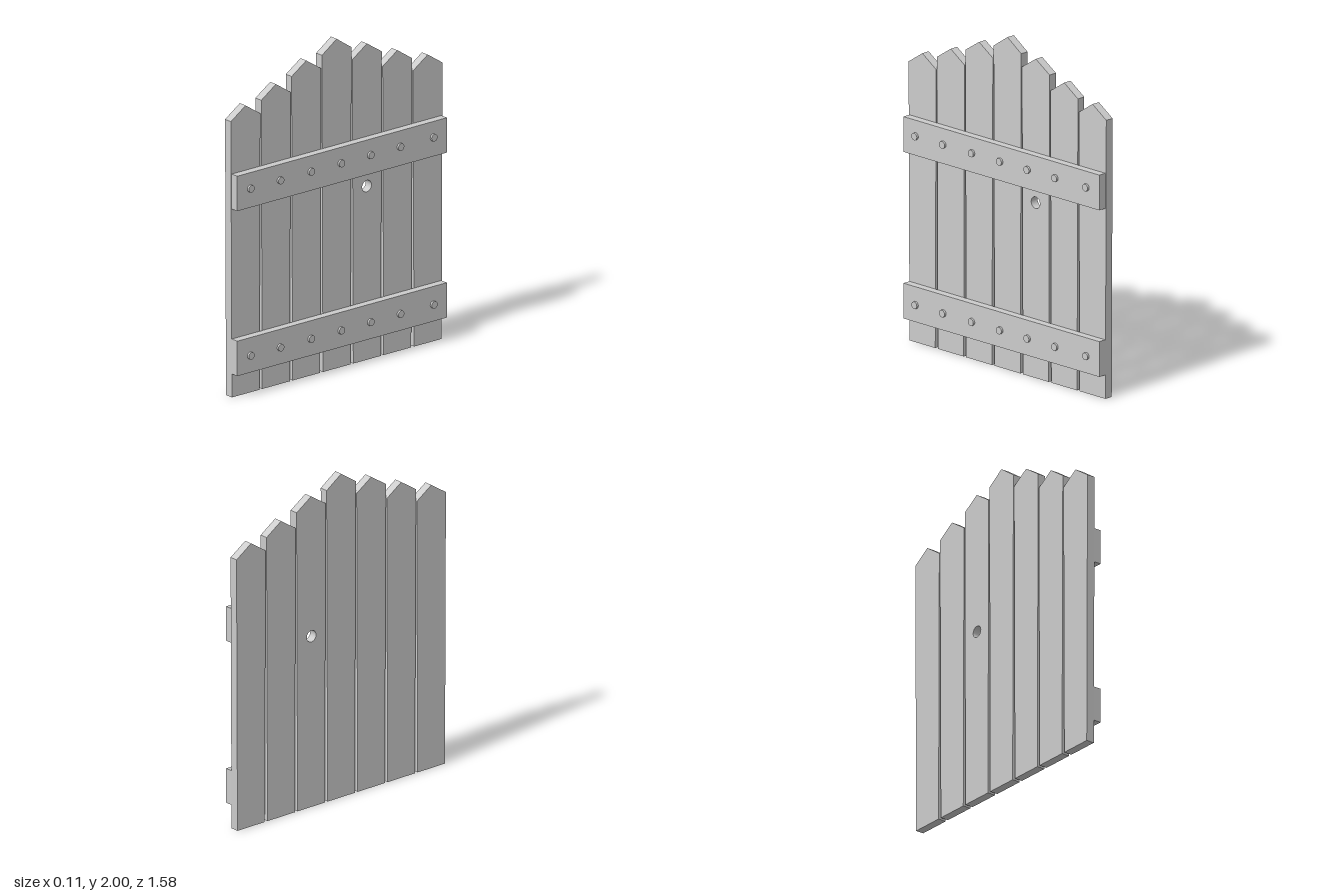
import * as THREE from 'three';

const material = new THREE.MeshStandardMaterial({ color: 0xcccccc, flatShading: true });

// Extrudes an outline drawn in (z, y) so that it fills x from xMin to xMax
function slab(points, xMin, xMax, hole) {
  const shape = new THREE.Shape(points.map(([z, y]) => new THREE.Vector2(z, y)));
  if (hole) shape.holes.push(new THREE.Path().absarc(hole.z, hole.y, hole.r, 0, Math.PI * 2, true));
  const geometry = new THREE.ExtrudeGeometry(shape, {
    depth: xMax - xMin, bevelEnabled: false, curveSegments: 16,
  });
  geometry.rotateY(-Math.PI / 2);
  geometry.translate(xMax, 0, 0);
  return geometry;
}

export function createModel() {
  const gate = new THREE.Group();
  gate.name = 'picketGate';
  const add = (geometry, name) => {
    const mesh = new THREE.Mesh(geometry, material);
    mesh.name = name;
    gate.add(mesh);
    return mesh;
  };

  // Pointed pickets, stepping down from the middle and narrowing slightly to the foot
  const shoulders = [1.925, 1.848, 1.755, 1.677];
  const peaks = [2.0, 1.92, 1.828, 1.75];
  for (let i = -3; i <= 3; i++) {
    const z = i * 0.227;
    const step = Math.abs(i);
    const outline = [
      [z - 0.103, 0], [z + 0.103, 0],
      [z + 0.11, shoulders[step]], [z, peaks[step]], [z - 0.11, shoulders[step]],
    ];
    // Latch hole through one picket
    const hole = i === -1 ? { z: -0.225, y: 1.055, r: 0.035 } : null;
    add(slab(outline, -0.058, -0.006, hole), 'picket');
  }

  // Two cross rails, each with a row of bolts
  const boltZ = [0.687, 0.465, 0.235, 0.01, -0.21, -0.432, -0.68];
  for (const [bottom, top, boltY] of [[0.143, 0.355, 0.246], [1.145, 1.357, 1.261]]) {
    add(slab([[-0.783, bottom], [0.785, bottom], [0.785, top], [-0.783, top]], -0.006, 0.043), 'rail');
    for (const z of boltZ) {
      const bolt = add(new THREE.CylinderGeometry(0.022, 0.022, 0.02, 16), 'bolt');
      bolt.rotation.z = -Math.PI / 2;
      bolt.position.set(0.046, boltY, z);
    }
  }
  return gate;
}
